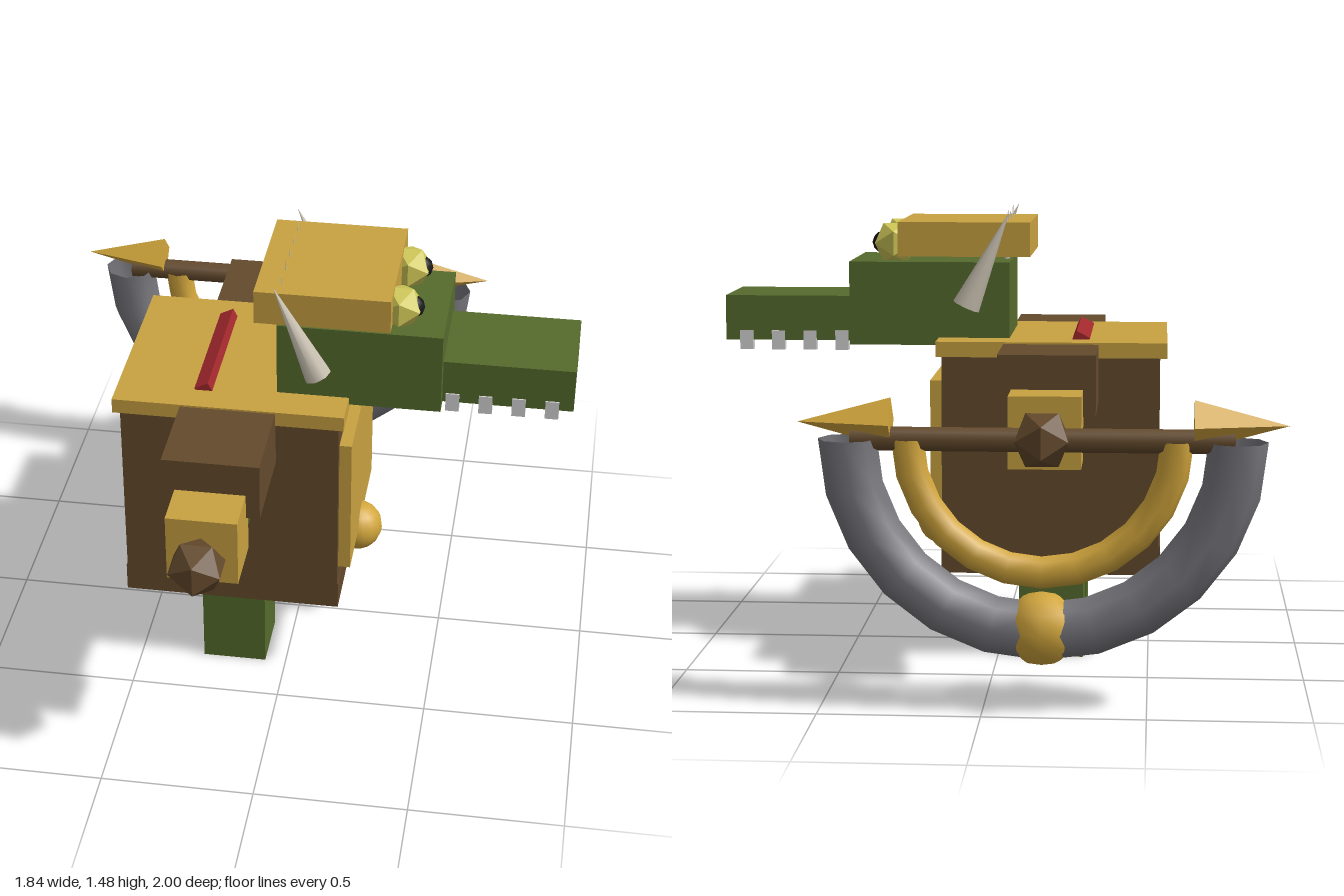
import * as THREE from 'three';

const mat = (name, color, side = THREE.FrontSide, flatShading = false) => {
  const m = new THREE.MeshStandardMaterial({ color, side, flatShading });
  m.name = name;
  return m;
};

export function createModel() {
  const root = new THREE.Group();
  const green = mat('scale green', 0x566b2d);
  const brown = mat('leather brown', 0x644a2c);
  const gold = mat('armour gold', 0xc8a241);
  const metal = mat('weapon gold', 0xd2a63c, THREE.DoubleSide);
  const steel = mat('steel grey', 0x77767c, THREE.DoubleSide);
  const red = mat('sash red', 0xa0282c);
  const ivory = mat('horn ivory', 0xc8c0b0);
  const white = mat('tooth white', 0xd6d6d6);
  const yellow = mat('eye yellow', 0xd0c858);
  const black = mat('pupil black', 0x16161a);

  const add = (name, geo, m, x = 0, y = 0, z = 0, parent = root) => {
    const mesh = new THREE.Mesh(geo, m);
    mesh.name = name;
    mesh.position.set(x, y, z);
    parent.add(mesh);
    return mesh;
  };
  // box given by its extents on each axis
  const box = (name, m, [x0, x1], [y0, y1], [z0, z1]) =>
    add(name, new THREE.BoxGeometry(x1 - x0, y1 - y0, z1 - z0), m,
      (x0 + x1) / 2, (y0 + y1) / 2, (z0 + z1) / 2);

  const MID = 0.04; // the body's own centre plane in z

  // torso
  box('torso', brown, [-0.532, 0.182], [0.385, 1.01], [-0.282, 0.362]);
  box('belt', brown, [-0.537, 0.185], [0.288, 0.385], [-0.276, 0.357]);
  box('collar', gold, [-0.555, 0.2], [1.01, 1.06], [-0.3, 0.374]);
  box('bellyPlate', gold, [0.17, 0.222], [0.442, 0.927], [-0.253, 0.335]);
  add('buckle', new THREE.SphereGeometry(0.085, 16, 12), metal, 0.21, 0.41, MID + 0.003);

  // slanted sash running through the torso
  add('sash', new THREE.BoxGeometry(0.05, 0.885, 0.48), red, -0.079, 0.682, MID - 0.003)
    .rotation.z = 0.47;

  // head
  box('head', green, [-0.035, 0.497], [1.035, 1.31], [-0.175, 0.252]);
  box('snout', green, [0.49, 0.92], [1.043, 1.192], [-0.125, 0.2]);
  box('crown', gold, [-0.104, 0.332], [1.33, 1.443], [-0.205, 0.278]);
  for (let i = 0; i < 5; i++) {
    add('crownSpike', new THREE.ConeGeometry(0.01, 0.16, 6), ivory,
      -0.024, 1.4, MID + (i - 2) * 0.088 - 0.003);
  }

  for (const s of [-1, 1]) {
    // face details
    for (let i = 0; i < 4; i++) {
      add('tooth', new THREE.BoxGeometry(0.044, 0.064, 0.034), white,
        0.53 + i * 0.107, 1.043, MID - 0.002 + s * 0.15);
    }
    add('eye', new THREE.IcosahedronGeometry(0.076, 0), yellow, 0.352, 1.368, MID + s * 0.128);
    add('pupil', new THREE.IcosahedronGeometry(0.037, 1), black, 0.392, 1.37, MID + s * 0.128);
    add('horn', new THREE.ConeGeometry(0.046, 0.343, 8), ivory, 0.034, 1.324, MID + s * 0.263)
      .rotation.z = 0.43;

    // limbs
    const side = (a, b) => [MID + s * a, MID + s * b].sort((p, q) => p - q);
    box('leg', green, [-0.284, -0.07], [0, 0.3], side(0.068, 0.282));
    box('arm', green, [-0.28, -0.082], [0.738, 0.93], side(0.31, 0.61));
    box('shoulderPad', brown, [-0.332, -0.022], [0.86, 1.054], side(0.3, 0.641));
    box('cuff', gold, [-0.292, -0.066], [0.718, 0.945], side(0.603, 0.796));
  }

  // weapon knob beyond the left cuff
  const knob = new THREE.IcosahedronGeometry(0.096, 0);
  add('handKnob', knob, brown, -0.18, 0.83, 0.917);

  // crescent weapon beside the other hand
  const weapon = new THREE.Group();
  weapon.name = 'crescentWeapon';
  weapon.position.set(-0.178, 0.83, -0.885);
  root.add(weapon);
  add('weaponHub', knob, brown, 0, 0, 0, weapon);
  add('shaft', new THREE.CylinderGeometry(0.037, 0.037, 1.16, 8), brown, 0, 0, 0, weapon)
    .rotation.z = Math.PI / 2;
  add('crescentBlade', new THREE.TorusGeometry(0.59, 0.09, 8, 12, Math.PI), steel, 0, 0, 0, weapon)
    .rotation.z = Math.PI;
  add('innerCrescent', new THREE.TorusGeometry(0.407, 0.05, 8, 12, Math.PI), metal, 0, 0, 0, weapon)
    .rotation.z = Math.PI;
  add('crescentKnob', new THREE.SphereGeometry(0.115, 8, 6), metal, 0, -0.58, 0, weapon);
  for (const s of [-1, 1]) {
    const tip = new THREE.ConeGeometry(0.076, 0.285, 4).toNonIndexed();
    tip.computeVertexNormals();
    add('spearTip', tip, metal, s * 0.6, 0.05, 0, weapon).rotation.z = -s * Math.PI / 2;
  }
  return root;
}
